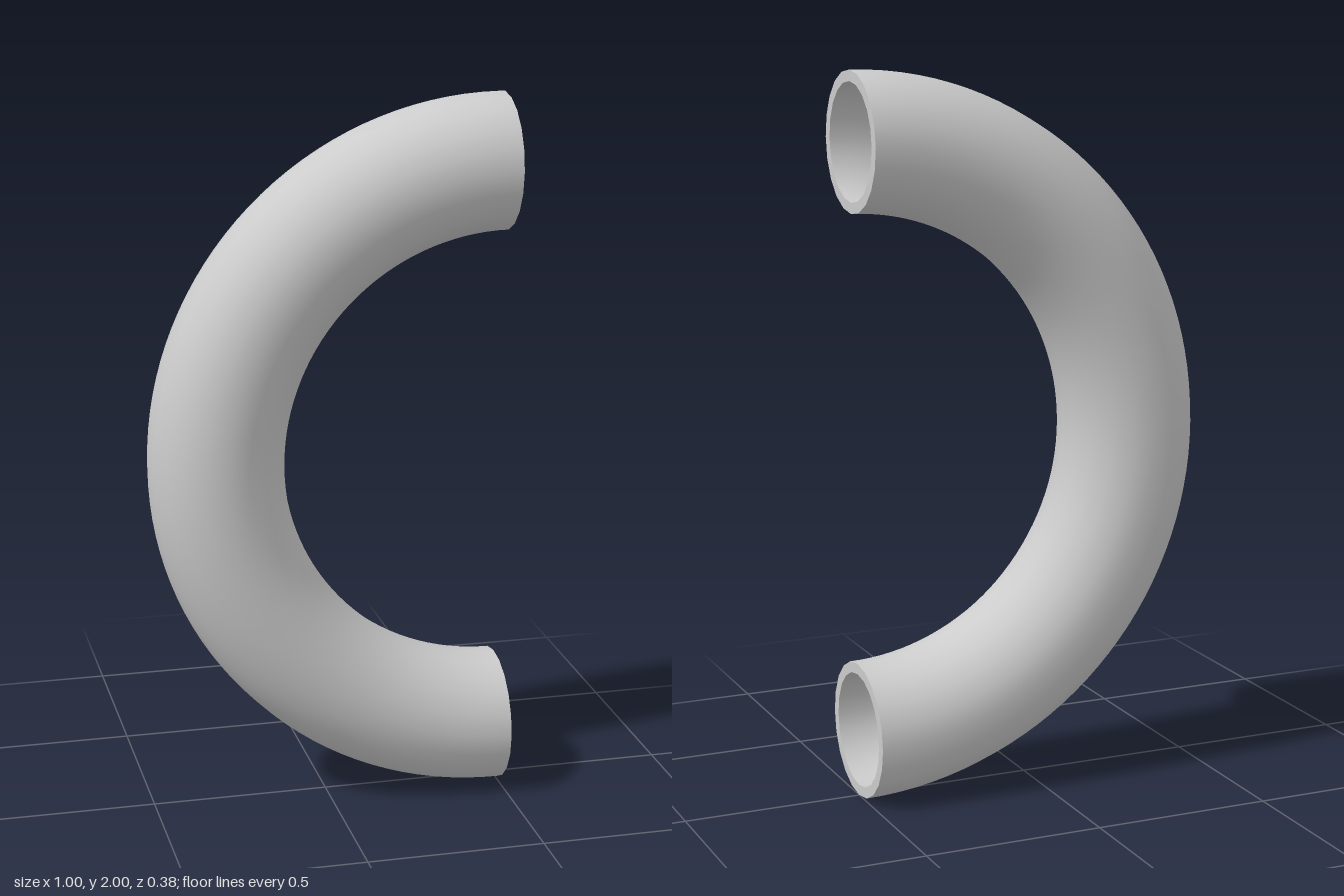
import * as THREE from 'three';

const OUTER = 0.19, INNER = 0.16, BEND = 1 - OUTER;
const SIDES = 20, STEPS = 64;

// Half-circle tube wall, opening towards +x
function bentWall(radius) {
  return new THREE.TorusGeometry(BEND, radius, SIDES, STEPS, Math.PI).rotateZ(Math.PI / 2);
}

// Turn a surface inside out
function inverted(geometry) {
  geometry.index.array.reverse();
  const n = geometry.attributes.normal;
  for (let i = 0; i < n.count; i++) n.setXYZ(i, -n.getX(i), -n.getY(i), -n.getZ(i));
  return geometry;
}

export function createModel() {
  const model = new THREE.Group();
  model.name = 'pipeBend';
  const material = new THREE.MeshStandardMaterial({ color: 0xcccccc });

  function add(name, geometry, y) {
    const mesh = new THREE.Mesh(geometry, material);
    mesh.name = name;
    mesh.position.set(0.5, y, 0);
    model.add(mesh);
  }

  // Pipe walls
  add('outerWall', bentWall(OUTER), 1);
  add('innerWall', inverted(bentWall(INNER)), 1);

  // Flat rims closing the wall thickness at both ends
  const rim = new THREE.RingGeometry(INNER, OUTER, SIDES).rotateY(Math.PI / 2);
  add('upperRim', rim, 1 + BEND);
  add('lowerRim', rim, 1 - BEND);

  return model;
}
